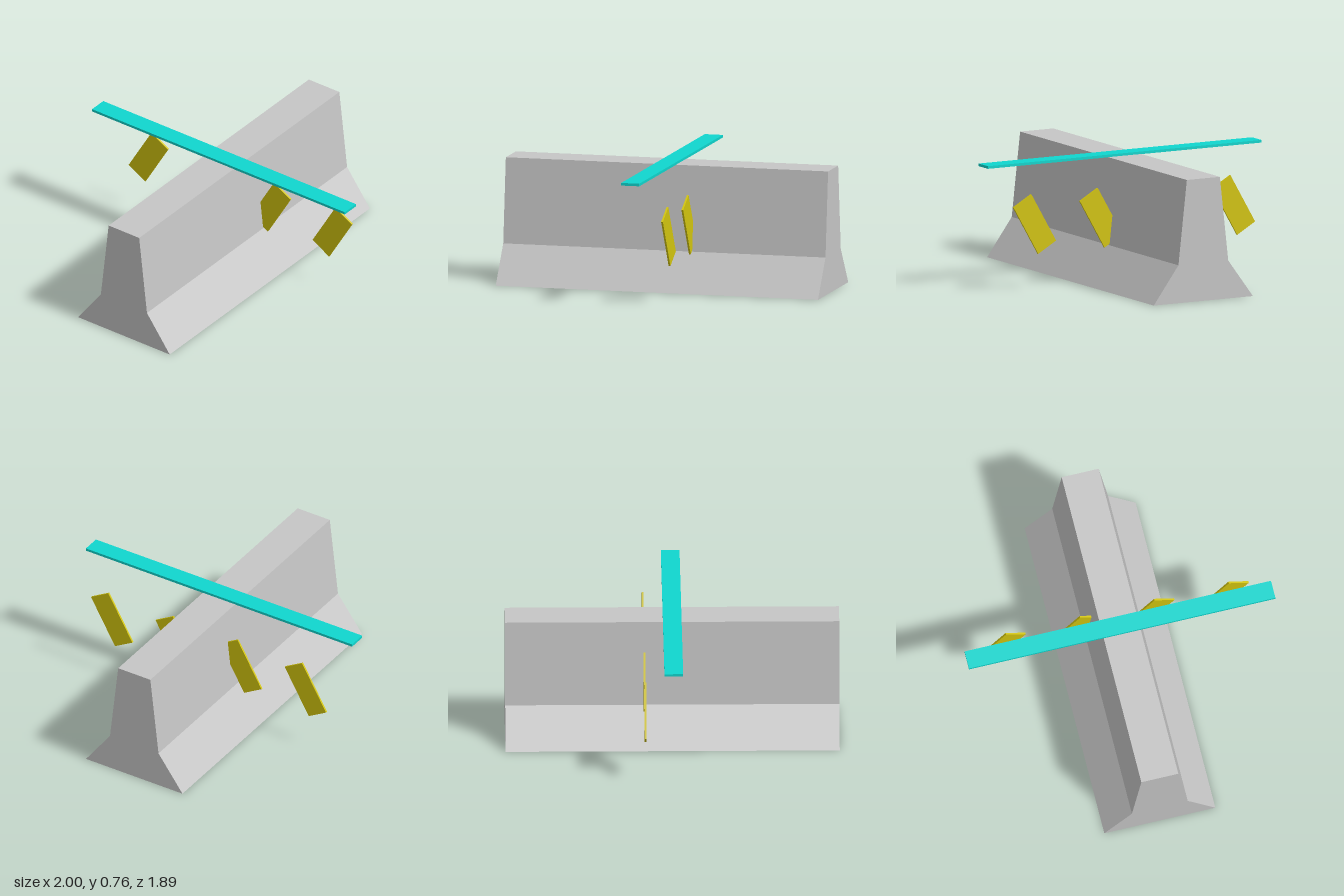
import * as THREE from 'three';

export function createModel() {
  const model = new THREE.Group();
  const concrete = new THREE.MeshStandardMaterial({ name: 'concreteGrey', color: 0xc6c6c6, flatShading: true });
  const teal = new THREE.MeshStandardMaterial({ name: 'teal', color: 0x10d6ce, flatShading: true });
  const yellow = new THREE.MeshStandardMaterial({ name: 'yellow', color: 0xd3c50e, flatShading: true });

  // Barrier: flared cross-section extruded along x
  const half = [[0.342, 0], [0.172, 0.23], [0.114, 0.743]];
  const profile = [...half, ...half.map(([z, y]) => [-z, y]).reverse()];
  const shape = new THREE.Shape(profile.map(([z, y]) => new THREE.Vector2(z, y)));
  const body = new THREE.ExtrudeGeometry(shape, { depth: 2, bevelEnabled: false });
  body.translate(0, 0, -1).rotateY(Math.PI / 2);
  const barrier = new THREE.Mesh(body, concrete);
  barrier.name = 'barrier';
  model.add(barrier);

  // Crossbar lying over the top
  const bar = new THREE.Mesh(new THREE.BoxGeometry(0.112, 0.016, 1.888), teal);
  bar.name = 'crossbar';
  bar.position.set(0, 0.75, 0);
  model.add(bar);

  // Row of slanted stripe plates
  const stripes = new THREE.Group();
  stripes.name = 'stripes';
  const plate = new THREE.BoxGeometry(0.011, 0.34, 0.142);
  for (let i = 0; i < 4; i++) {
    const stripe = new THREE.Mesh(plate, yellow);
    stripe.name = 'stripe' + (i + 1);
    stripe.position.set(0.167, 0.402, (i - 1.5) * 0.458);
    stripe.rotation.x = Math.PI / 6;
    stripes.add(stripe);
  }
  model.add(stripes);

  return model;
}
